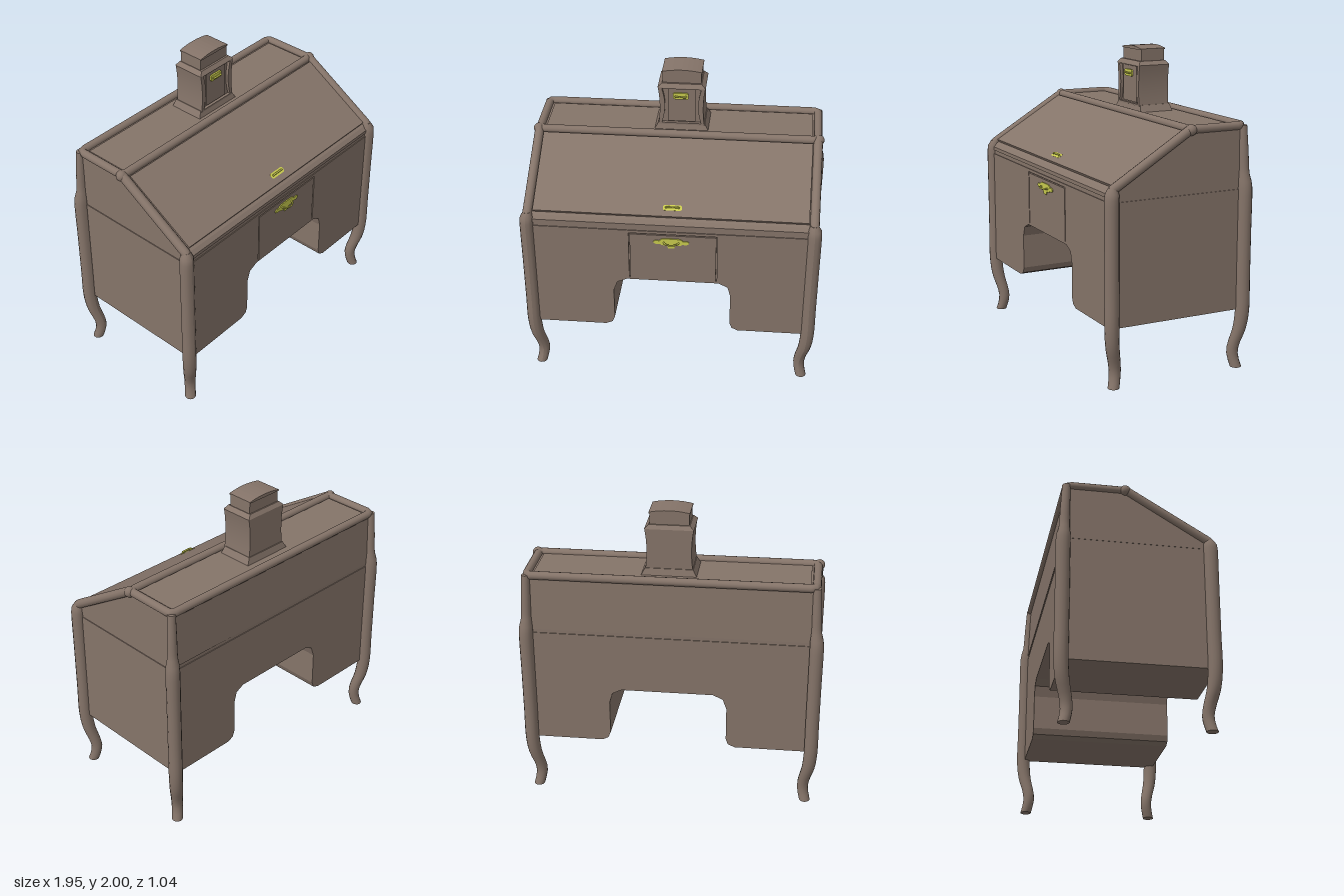
import * as THREE from 'three';
import { toCreasedNormals } from 'three/addons/utils/BufferGeometryUtils.js';

const wood = new THREE.MeshStandardMaterial({ color: 0x857469 });
const brass = new THREE.MeshStandardMaterial({ color: 0xc9cb4e });

const V = (x, y, z) => new THREE.Vector3(x, y, z);
const poly = (pts) => new THREE.Shape(pts.map(([x, y]) => new THREE.Vector2(x, y)));
const box = (x0, x1, y0, y1, z0, z1) =>
  new THREE.BoxGeometry(x1 - x0, y1 - y0, z1 - z0).translate((x0 + x1) / 2, (y0 + y1) / 2, (z0 + z1) / 2);

// Extrusion along z between z0 and z1
const slab = (shape, z0, z1) =>
  new THREE.ExtrudeGeometry(shape, { depth: z1 - z0, bevelEnabled: false, curveSegments: 8 }).translate(0, 0, z0);

// Box whose top is scaled about its centre
function frustum(x0, x1, y0, y1, z0, z1, sx, sz) {
  const g = new THREE.BoxGeometry(x1 - x0, y1 - y0, z1 - z0);
  const p = g.attributes.position;
  for (let i = 0; i < p.count; i++) {
    if (p.getY(i) > 0) p.setXYZ(i, p.getX(i) * sx, p.getY(i), p.getZ(i) * sz);
  }
  g.computeVertexNormals();
  return g.translate((x0 + x1) / 2, (y0 + y1) / 2, (z0 + z1) / 2);
}

// Straight-segmented path with softened corners
function rail(pts, r, closed = false) {
  const path = new THREE.CurvePath();
  const n = pts.length;
  const toward = (a, b, d) => a.clone().add(b.clone().sub(a).setLength(d));
  const d = 0.03;
  for (let i = 0; i < (closed ? n : n - 1); i++) {
    const a = pts[i], b = pts[(i + 1) % n], c = pts[(i + 2) % n];
    const start = closed || i > 0 ? toward(a, b, d) : a;
    const corner = closed || i < n - 2;
    const end = corner ? toward(b, a, d) : b;
    path.add(new THREE.LineCurve3(start, end));
    if (corner) path.add(new THREE.QuadraticBezierCurve3(end, b, toward(b, c, d)));
  }
  return new THREE.TubeGeometry(path, 160, r, 12, closed);
}

// Leg: rows are [height, inward offset, radius]
function legGeometry(rows, x, z) {
  const top = rows[rows.length - 1][0];
  const curve = new THREE.CatmullRomCurve3(rows.map(([y, o, r]) => V(o, y, r)));
  const samples = curve.getPoints(80);
  const g = new THREE.CylinderGeometry(1, 1, top, 14, 36).translate(0, top / 2, 0);
  const p = g.attributes.position;
  for (let i = 0; i < p.count; i++) {
    const y = p.getY(i);
    let k = samples.findIndex((s) => s.y >= y - 1e-6);
    if (k < 1) k = k < 0 ? samples.length - 1 : 1;
    const a = samples[k - 1], b = samples[k];
    const s = a.clone().lerp(b, THREE.MathUtils.clamp((y - a.y) / (b.y - a.y), 0, 1));
    p.setX(i, x - Math.sign(x) * s.x + p.getX(i) * s.z);
    p.setZ(i, z - Math.sign(z) * s.x + p.getZ(i) * s.z);
  }
  g.computeVertexNormals();
  return g;
}

export function createModel() {
  const model = new THREE.Group();

  // The whole desk is very slightly skewed in plan
  function add(name, geo, mat = wood) {
    const p = geo.attributes.position;
    for (let i = 0; i < p.count; i++) p.setZ(i, p.getZ(i) - 0.015 * p.getX(i));
    const mesh = new THREE.Mesh(geo, mat);
    mesh.name = name;
    model.add(mesh);
  }

  // Pedestals joined over the kneehole
  const front = () => poly([
    [-0.925, 0.39], [-0.43, 0.39], [-0.385, 0.41], [-0.37, 0.45], [-0.37, 0.68], [-0.345, 0.75], [-0.28, 0.78],
    [0.32, 0.78], [0.38, 0.75], [0.4, 0.68], [0.4, 0.45], [0.415, 0.41], [0.455, 0.39],
    [0.925, 0.39], [0.925, 1.172], [-0.925, 1.172]]);
  add('lowerBody', slab(front(), -0.462, 0.458));
  const face = front();
  face.holes.push(poly([[-0.264, 0.795], [-0.264, 1.152], [0.309, 1.152], [0.309, 0.795]]));
  add('frontFace', slab(face, 0.458, 0.472));
  add('drawerFront', box(-0.256, 0.301, 0.795, 1.144, 0.45, 0.472));

  // Groove band and sloped upper case
  add('grooveBand', box(-0.92, 0.92, 1.165, 1.205, -0.457, 0.467));
  const side = poly([[-0.462, 1.198], [0.472, 1.198], [0.472, 1.222], [0.45, 1.245],
    [-0.07, 1.56], [-0.08, 1.568], [-0.45, 1.568]]);
  add('upperCase', slab(side, -0.922, 0.922).rotateY(-Math.PI / 2));
  const slope = -1.027;
  add('lid', new THREE.BoxGeometry(1.765, 0.565, 0.03).rotateX(slope).translate(0, 1.407, 0.193));
  add('topPanel', box(-0.875, 0.875, 1.56, 1.574, -0.41, -0.11));

  // Gallery rail, sloped rails and legs
  add('galleryRail', rail([V(-0.913, 1.572, -0.449), V(-0.913, 1.572, -0.077),
    V(0.913, 1.572, -0.077), V(0.913, 1.572, -0.449)], 0.027, true));
  const lower = [[0, 0.024, 0.036], [0.04, 0.034, 0.036], [0.1, 0.042, 0.037], [0.16, 0.034, 0.039],
    [0.26, 0.011, 0.043], [0.38, 0, 0.045], [0.6, 0, 0.045], [0.9, 0, 0.045], [1.19, 0, 0.045]];
  for (const s of [-1, 1]) {
    add('frontLeg', legGeometry([...lower, [1.22, 0.001, 0.044], [1.25, 0.004, 0.036], [1.265, 0.006, 0.025]], s * 0.922, 0.457));
    add('backLeg', legGeometry([...lower, [1.22, 0.002, 0.043], [1.27, 0.006, 0.034], [1.4, 0.01, 0.031],
      [1.575, 0.016, 0.026]], s * 0.932, -0.467));
    add('slopedRail', rail([V(s * 0.917, 1.15, 0.46), V(s * 0.917, 1.245, 0.46), V(s * 0.915, 1.572, -0.077)], 0.03));
    add('railCorner', new THREE.SphereGeometry(0.035, 14, 10).translate(s * 0.92, 1.57, -0.08));
  }

  // Small cabinet on top
  const cx = 0.017;
  const waisted = (bottom, mid, top, y0, y1) => {
    const shape = new THREE.Shape();
    shape.moveTo(cx - bottom, y0);
    shape.lineTo(cx + bottom, y0);
    shape.bezierCurveTo(cx + mid, y0 + 0.09, cx + mid, y1 - 0.09, cx + top, y1);
    shape.lineTo(cx - top, y1);
    shape.bezierCurveTo(cx - mid, y1 - 0.09, cx - mid, y0 + 0.09, cx - bottom, y0);
    return shape;
  };
  add('cabinetBase', frustum(cx - 0.178, cx + 0.178, 1.57, 1.618, -0.372, -0.13, 0.86, 0.9));
  add('cabinetBody', toCreasedNormals(slab(waisted(0.15, 0.138, 0.154, 1.61, 1.88), -0.355, -0.155), 0.6));
  const frame = waisted(0.15, 0.138, 0.154, 1.61, 1.88);
  frame.holes.push(waisted(0.128, 0.102, 0.128, 1.622, 1.872));
  add('cabinetFrame', toCreasedNormals(slab(frame, -0.155, -0.135), 0.6));
  add('cabinetDoor', box(cx - 0.09, cx + 0.09, 1.63, 1.868, -0.16, -0.146));
  add('cabinetCollar', frustum(cx - 0.156, cx + 0.156, 1.88, 1.905, -0.357, -0.133, 0.83, 0.85));
  const arch = (w, y0, y1, rise) => {
    const s = new THREE.Shape();
    s.moveTo(cx - w, y0);
    s.lineTo(cx + w, y0);
    s.lineTo(cx + w, y1);
    s.quadraticCurveTo(cx, y1 + rise * 2, cx - w, y1);
    return s;
  };
  add('cabinetCap', slab(arch(0.125, 1.9, 1.98, 0.015), -0.332, -0.163));
  add('cabinetCapTop', slab(arch(0.129, 1.978, 1.986, 0.014), -0.338, -0.157));

  // Brass handles, each made at the origin facing +z, then placed
  const place = (g, y, z, tilt) => g.rotateX(tilt).translate(0.012, y, z);
  function handle(name, w, h, y, z, tilt = 0) {
    const plate = poly([[-w, -h * 0.6], [-w * 0.85, -h], [w * 0.85, -h], [w, -h * 0.6],
      [w, h * 0.6], [w * 0.85, h], [-w * 0.85, h], [-w, h * 0.6]]);
    add(name + 'Plate', place(slab(plate, -0.006, 0.005), y, z, tilt), brass);
    const bail = [V(-w * 0.65, 0, 0), V(-w * 0.65, 0, 0.014), V(w * 0.65, 0, 0.014), V(w * 0.65, 0, 0)];
    const curve = new THREE.CatmullRomCurve3(bail, false, 'catmullrom', 0.2);
    add(name + 'Bail', place(new THREE.TubeGeometry(curve, 20, 0.006, 8), y, z, tilt), brass);
  }
  handle('cabinetHandle', 0.05, 0.022, 1.82, -0.14);
  handle('lidHandle', 0.06, 0.019, 1.302, 0.388, slope);

  // Drawer pull: winged plate with a shield and a projecting bow
  const half = [[0.02, -0.045], [0.026, -0.024], [0.06, -0.022], [0.075, -0.012], [0.095, -0.016],
    [0.112, -0.008], [0.115, 0.004], [0.1, 0.014], [0.078, 0.01], [0.06, 0.026], [0.02, 0.028]];
  const wing = poly([...half, ...half.map(([x, y]) => [-x, y]).reverse()]);
  add('drawerPullPlate', place(slab(wing, -0.004, 0.007), 1.095, 0.472, 0), brass);
  add('drawerPullBow', place(new THREE.TorusGeometry(0.048, 0.006, 8, 20, Math.PI)
    .rotateX(Math.PI / 2).scale(1, 1, 0.75), 1.095, 0.474, 0), brass);
  return model;
}
